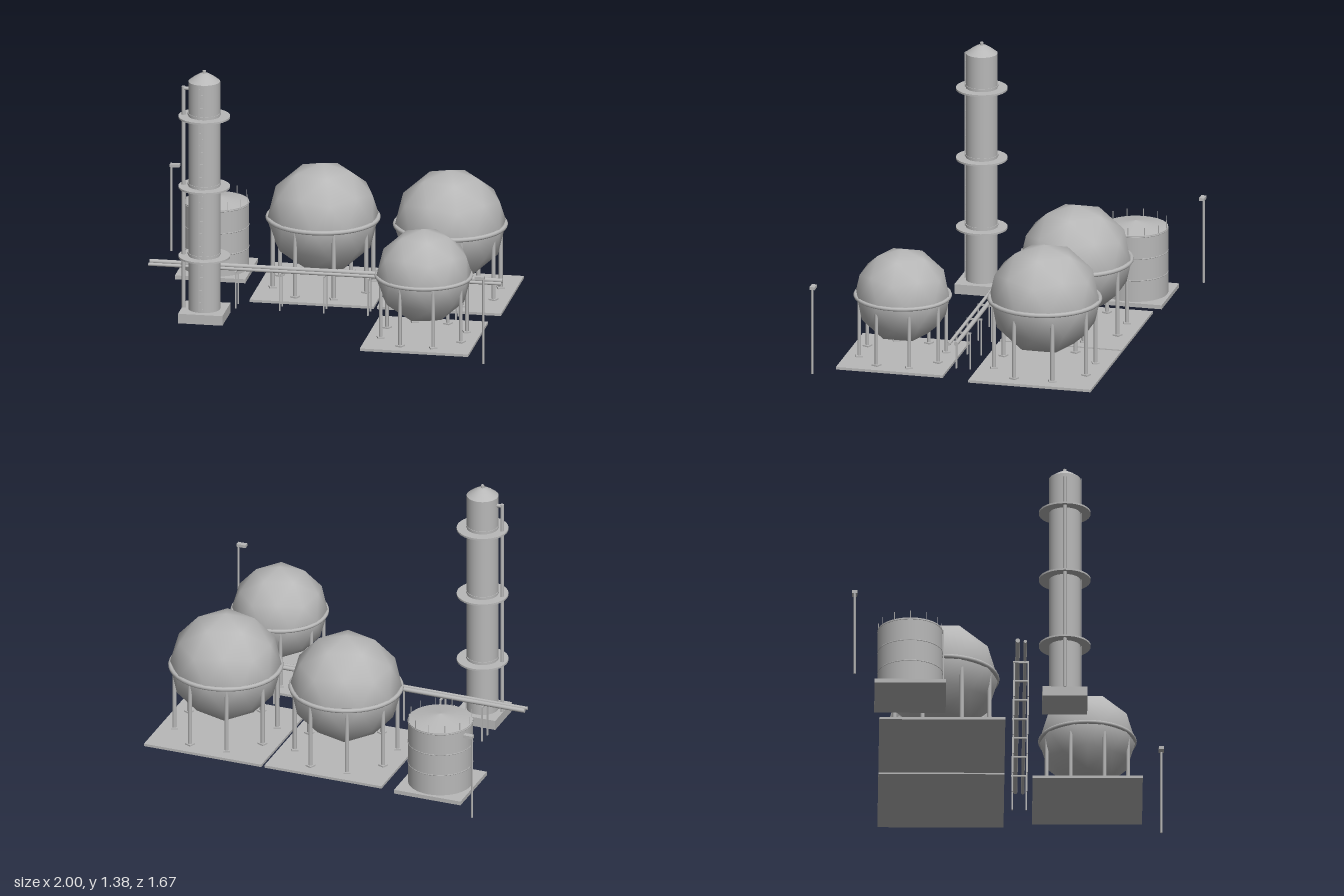
import * as THREE from 'three';

const steel = new THREE.MeshStandardMaterial({ color: 0xb8b8b8 });
steel.name = 'light grey steel';

function add(parent, name, geometry, x = 0, y = 0, z = 0) {
  const mesh = new THREE.Mesh(geometry, steel);
  mesh.name = name;
  mesh.position.set(x, y, z);
  parent.add(mesh);
  return mesh;
}

function group(parent, name, x = 0, z = 0) {
  const g = new THREE.Group();
  g.name = name;
  g.position.set(x, 0, z);
  parent.add(g);
  return g;
}

const box = (w, h, d) => new THREE.BoxGeometry(w, h, d);

// upright cylinder from y0 to y1
function post(parent, name, r, y0, y1, x, z, sides = 8) {
  return add(parent, name, new THREE.CylinderGeometry(r, r, y1 - y0, sides), x, (y0 + y1) / 2, z);
}

function hoop(parent, name, r, tube, y, sides = 8) {
  return add(parent, name, new THREE.TorusGeometry(r, tube, sides, 40).rotateX(Math.PI / 2), 0, y, 0);
}

// two rails with rungs, facing +z
function ladder(parent, z, y0, y1) {
  const g = group(parent, 'ladder', 0, z);
  for (const s of [-1, 1]) add(g, 'ladderRail', box(0.004, y1 - y0, 0.004), s * 0.011, (y0 + y1) / 2, 0);
  for (let y = y0 + 0.02; y < y1; y += 0.035) add(g, 'ladderRung', box(0.022, 0.003, 0.003), 0, y, 0);
}

// ball tank on eight legs, standing on a square slab
function sphereTank(parent, x, z, r, cy, slab) {
  const g = group(parent, 'sphereTank', x, z);
  add(g, 'slab', box(slab, 0.014, slab), 0, 0.007, 0);
  const ball = new THREE.IcosahedronGeometry(r, 1);
  ball.rotateZ(-Math.atan(2 / (1 + Math.sqrt(5)))); // a corner at each pole
  add(g, 'sphere', ball, 0, cy, 0);
  hoop(g, 'equatorRing', r * 0.98, r * 0.042, cy);
  for (let i = 0; i < 8; i++) {
    const a = (i + 0.5) * Math.PI / 4;
    const lx = r * 0.91 * Math.cos(a), lz = r * 0.91 * Math.sin(a);
    post(g, 'leg', r * 0.038, 0.014, cy, lx, lz, 10);
    add(g, 'footPlate', box(0.038, 0.008, 0.038), lx, 0.018, lz).rotation.y = -a;
  }
}

// tall column with platforms, ladder and side pipe
function column(parent) {
  const g = group(parent, 'column', -0.61, 0.297);
  add(g, 'columnBase', box(0.24, 0.053, 0.24), 0, 0.0265, 0);
  post(g, 'columnBody', 0.085, 0.053, 1.32, 0, 0, 32);
  const dome = [[0.085, 1.32], [0.055, 1.343], [0.022, 1.363], [0, 1.366]].reverse();
  add(g, 'columnDome', new THREE.LatheGeometry(dome.map(p => new THREE.Vector2(...p)).reverse(), 32));
  post(g, 'topNozzle', 0.009, 1.36, 1.38, 0, 0, 12);
  for (const y of [0.345, 0.733, 1.123]) {
    post(g, 'platform', 0.138, y - 0.005, y + 0.005, 0, 0, 32);
    post(g, 'collar', 0.088, y + 0.012, y + 0.022, 0, 0, 32);
  }
  ladder(g, 0.09, 0.055, 1.32);
  post(g, 'sidePipe', 0.01, 0.053, 1.285, -0.112, 0, 12);
  const elbow = new THREE.CylinderGeometry(0.01, 0.01, 0.04, 12).rotateZ(Math.PI / 2);
  add(g, 'sidePipeTop', elbow, -0.092, 1.274, 0);
}

// flat-bottomed tank with shallow cone roof and railing posts
function storageTank(parent) {
  const g = group(parent, 'storageTank', -0.695, -0.525);
  add(g, 'tankSlab', box(0.38, 0.022, 0.38), 0, 0.011, 0);
  post(g, 'tankBody', 0.173, 0.022, 0.39, 0, 0, 32);
  add(g, 'tankRoof', new THREE.ConeGeometry(0.173, 0.033, 32, 1, true), 0, 0.4065, 0);
  for (const y of [0.14, 0.26, 0.382]) hoop(g, 'tankBand', 0.172, 0.003, y, 6);
  for (let i = 0; i < 12; i++) {
    const a = i * Math.PI / 6;
    post(g, 'railingPost', 0.002, 0.385, 0.433, 0.168 * Math.cos(a), 0.168 * Math.sin(a), 6);
  }
  ladder(g, 0.177, 0.022, 0.39);
}

// two long pipes carried on seven frames
function pipeRack(parent) {
  const g = group(parent, 'pipeRack', 0, 0.065);
  for (const [z, y, r] of [[-0.02, 0.218, 0.012], [0.02, 0.213, 0.009]]) {
    add(g, 'longPipe', new THREE.CylinderGeometry(r, r, 1.905, 12).rotateZ(Math.PI / 2), 0.002, y, z);
  }
  for (let i = -3; i <= 3; i++) {
    const x = i * 0.238;
    add(g, 'crossBeam', box(0.009, 0.009, 0.085), x, 0.2, 0);
    for (const s of [-1, 1]) add(g, 'rackLeg', box(0.008, 0.2, 0.008), x, 0.1, s * 0.038);
  }
}

function lamp(parent, side) {
  const g = group(parent, 'lamp', side * 0.994, side * 0.822);
  post(g, 'lampPole', 0.006, 0, 0.475, 0, 0);
  add(g, 'lampHead', box(0.052, 0.016, 0.028), -side * 0.02, 0.479, 0);
}

export function createModel() {
  const model = new THREE.Group();
  model.name = 'tankFarm';
  sphereTank(model, -0.088, -0.352, 0.3, 0.391, 0.67);
  sphereTank(model, 0.6, -0.352, 0.3, 0.391, 0.67);
  sphereTank(model, 0.6, 0.426, 0.257, 0.348, 0.585);
  column(model);
  storageTank(model);
  pipeRack(model);
  lamp(model, 1);
  lamp(model, -1);
  // dome and roof are single surfaces over closed bodies
  return model;
}
